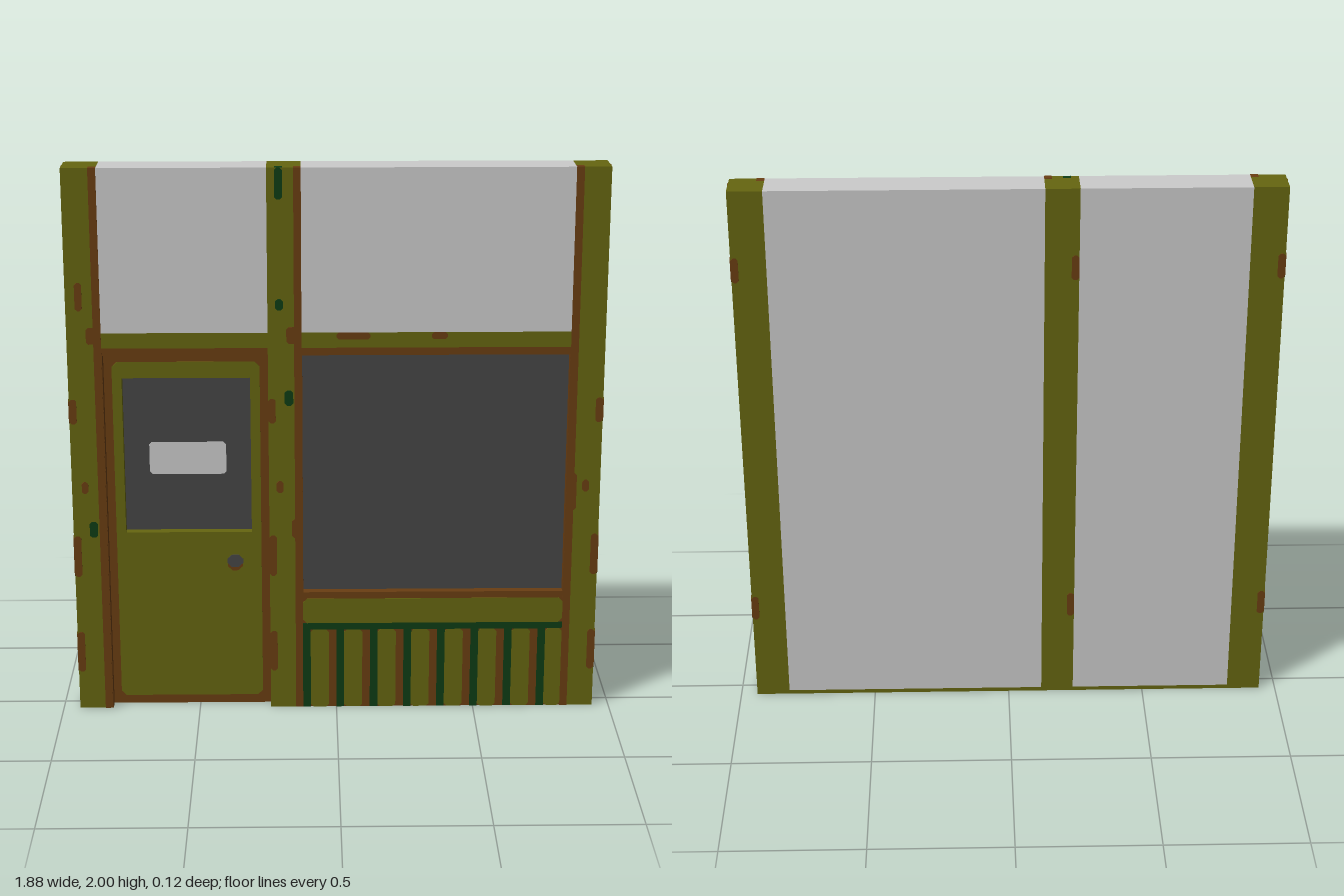
import * as THREE from 'three';

const mat = (name, color) => {
  const m = new THREE.MeshStandardMaterial({ color });
  m.name = name;
  return m;
};

export function createModel() {
  const root = new THREE.Group();
  root.name = 'wallWithDoorAndWindow';
  const olive = mat('olivePaint', 0x666610);
  const rust = mat('rust', 0x6a3e12);
  const green = mat('darkGreen', 0x0d3c14);
  const plaster = mat('plaster', 0xcccccc);
  const grey = mat('darkGrey', 0x464646);

  const F = 0.06; // half the wall thickness
  const T = 0.002; // thickness of painted plates

  const add = (name, geo, material) => {
    const m = new THREE.Mesh(geo, material);
    m.name = name;
    root.add(m);
    return m;
  };
  const box = (name, material, x0, x1, y0, y1, z0, z1) =>
    add(name, new THREE.BoxGeometry(x1 - x0, y1 - y0, z1 - z0), material)
      .position.set((x0 + x1) / 2, (y0 + y1) / 2, (z0 + z1) / 2);

  // Rectangle with chamfered corners
  const chamfer = (x0, x1, y0, y1, c) => new THREE.Shape([
    [x0 + c, y0], [x1 - c, y0], [x1, y0 + c], [x1, y1 - c],
    [x1 - c, y1], [x0 + c, y1], [x0, y1 - c], [x0, y0 + c],
  ].map(([x, y]) => new THREE.Vector2(x, y)));
  const rect = (x0, x1, y0, y1) => chamfer(x0, x1, y0, y1, 0);
  const slab = (name, material, shape, z, depth = T) => {
    const m = add(name, new THREE.ExtrudeGeometry(shape, { depth, bevelEnabled: false }), material);
    m.position.z = z;
    return m;
  };
  const spot = (name, material, x0, x1, y0, y1, z = F, c = 0.008) =>
    slab(name, material, chamfer(x0, x1, y0, y1, c), z);

  // Posts and the plaster bays between them
  const posts = [[-0.94, -0.82], [-0.24, -0.122], [0.82, 0.94]];
  posts.forEach(([a, b]) => box('post', olive, a, b, 0, 2, -F, F));
  const bays = [[-0.82, -0.24], [-0.122, 0.82]];
  bays.forEach(([a, b]) => {
    box('upperPlaster', plaster, a, b, 1.42, 2, -F, F);
    box('backPlaster', plaster, a, b, 0.015, 1.42, -F, -0.04);
    box('backSkirting', olive, a, b, 0, 0.015, -F, -0.04);
    box('header', olive, a, b, 1.365, 1.42, -0.04, F);
    box('headerTrim', rust, a, b, 1.338, 1.365, -0.04, F);
  });

  // Rust trims down the posts, turning onto the top and the jambs
  [[-0.847, -0.82], [-0.148, -0.122], [0.82, 0.847]].forEach(([a, b]) => {
    box('postTrim', rust, a, b, 0, 2, F, F + T);
    box('postTrimTop', rust, a, b, 2, 2 + T / 2, 0.035, F + T);
  });
  box('doorJamb', rust, -0.82, -0.818, 0, 1.338, 0.02, F);
  box('windowJamb', rust, -0.122, -0.12, 0.45, 1.338, 0.03, F);
  box('windowJamb', rust, 0.818, 0.82, 0.45, 1.338, 0.03, F);

  // Recessed door with a framed pane
  const paneHole = () => rect(-0.76, -0.3, 0.665, 1.25);
  const leaf = rect(-0.82, -0.24, 0, 1.338);
  leaf.holes.push(paneHole());
  slab('doorLeaf', rust, leaf, -0.04, 0.058);
  const panel = chamfer(-0.79, -0.27, 0.032, 1.305, 0.018);
  panel.holes.push(paneHole());
  slab('doorPanel', olive, panel, 0.018);
  const reveal = rect(-0.76, -0.3, 0.665, 1.25);
  reveal.holes.push(rect(-0.756, -0.304, 0.669, 1.246));
  slab('paneReveal', olive, reveal, -0.012, 0.032);
  box('doorPane', grey, -0.76, -0.3, 0.665, 1.25, -0.04, -0.012);
  spot('paneSign', plaster, -0.667, -0.393, 0.88, 1.0, -0.012, 0.01);
  slab('knobRust', rust, chamfer(-0.392, -0.338, 0.522, 0.57, 0.016), 0.02);
  slab('doorKnob', grey, chamfer(-0.394, -0.336, 0.536, 0.582, 0.016), 0.022);

  // Large window and its sill
  box('window', grey, -0.122, 0.82, 0.45, 1.338, -0.04, 0.03);
  box('windowSill', rust, -0.122, 0.82, 0.33, 0.45, -0.04, F);
  spot('sillPanel', olive, -0.122, 0.82, 0.33, 0.425, F, 0.015);

  // Slatted panel under the window
  box('lowerPanel', rust, -0.122, 0.82, 0, 0.33, -0.04, F);
  box('slatRail', green, -0.122, 0.82, 0.305, 0.33, F, F + T);
  for (let i = 0; i < 8; i++) {
    const x = -0.122 + i * 0.122;
    box('slatGap', green, x, x + 0.028, 0, 0.305, F, F + T);
    const end = i === 7 ? 0.82 : x + 0.094;
    spot('slat', olive, x + 0.028, end, 0, 0.305, F, 0.01);
  }

  // Worn patches on the front edges of the posts
  [[1.09, 1.18], [0.515, 0.67], [0.145, 0.3]].forEach(([a, b]) => {
    spot('rustPatch', rust, -0.94, -0.914, a, b);
    spot('rustPatch', rust, 0.914, 0.94, a, b);
    spot('rustPatch', rust, -0.24, -0.214, a, b);
  });
  [
    [-0.907, -0.882, 1.5, 1.6], [-0.905, -0.882, 0.83, 0.875],
    [0.876, 0.9, 0.83, 0.875], [-0.213, -0.188, 0.83, 0.875],
    [-0.872, -0.84, 1.38, 1.44], [-0.175, -0.14, 1.38, 1.44],
    [0.835, 0.856, 0.76, 0.9], [-0.16, -0.14, 0.66, 0.73],
    [0, 0.118, 1.395, 1.42], [0.332, 0.388, 1.395, 1.42],
  ].forEach((s) => spot('rustPatch', rust, ...s));
  [
    [-0.213, -0.186, 1.89, 2], [-0.213, -0.186, 1.5, 1.54],
    [-0.182, -0.152, 1.155, 1.21], [-0.882, -0.853, 0.665, 0.725],
  ].forEach((s) => spot('greenPatch', green, ...s));
  box('greenPatchTop', green, -0.213, -0.186, 2, 2 + T / 2, 0.04, F);

  // Worn patches on both ends of the wall: z range, y range
  [
    [0, 0.026, 1.89, 2], [-0.06, -0.032, 1.67, 1.76], [-0.024, 0, 1.19, 1.385],
    [0.032, 0.06, 1.09, 1.18], [0.032, 0.06, 0.515, 0.67], [0.032, 0.06, 0.145, 0.3],
    [-0.06, -0.032, 0.33, 0.425], [0, 0.026, 0, 0.05],
  ].forEach(([z0, z1, y0, y1]) => {
    for (const side of [1, -1]) {
      const shape = side > 0 ? chamfer(-z1, -z0, y0, y1, 0.008) : chamfer(z0, z1, y0, y1, 0.008);
      const m = slab('endPatch', rust, shape, 0);
      m.rotation.y = side * Math.PI / 2;
      m.position.x = side * 0.94;
    }
  });

  // Worn patches on the back
  [[1.67, 1.76], [0.33, 0.425]].forEach(([a, b]) => {
    [[-0.94, -0.915], [-0.24, -0.214], [0.915, 0.94]].forEach(([x0, x1]) =>
      spot('backPatch', rust, x0, x1, a, b, -F - T));
  });

  return root;
}
